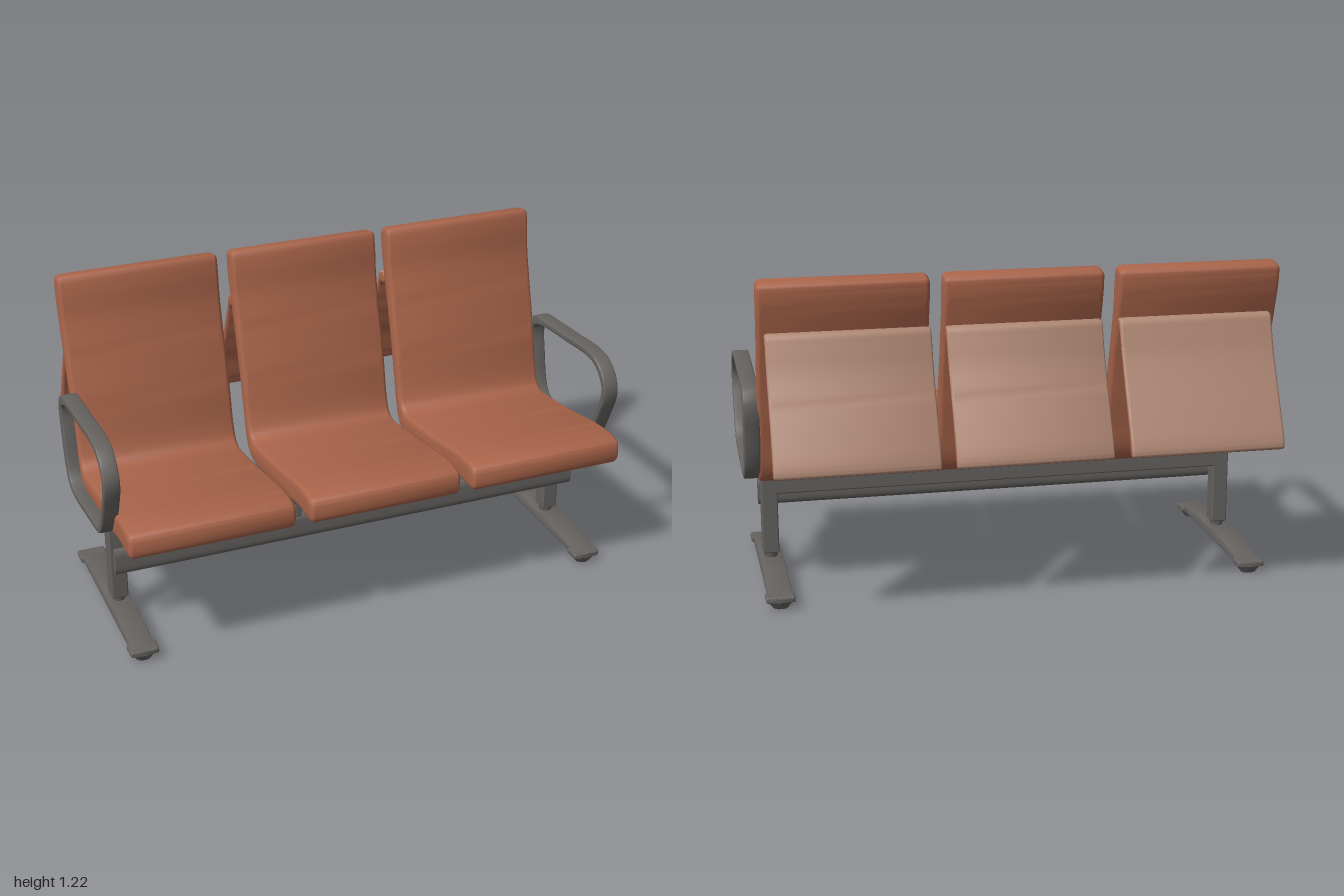
import * as THREE from 'three';
import { toCreasedNormals } from 'three/addons/utils/BufferGeometryUtils.js';
import { RoundedBoxGeometry } from 'three/addons/geometries/RoundedBoxGeometry.js';

const mat = (name, color) => Object.assign(new THREE.MeshStandardMaterial({ color }), { name });
const V = (p) => p.map(([z, y]) => new THREE.Vector2(z, y));
const closedCurve = (points) =>
  new THREE.CatmullRomCurve3(points.map(([z, y]) => new THREE.Vector3(z, y, 0)), true, 'centripetal');

// Smooth closed outline from a few (z, y) points
function smoothShape(points) {
  const pts = closedCurve(points).getPoints(points.length * 4);
  pts.pop();
  return new THREE.Shape(pts.map((p) => new THREE.Vector2(p.x, p.y)));
}

// Extrude a (z, y) outline across x, with a rounded edge kept inside the outline
function across(shape, width, bevel, segments = 4) {
  const g = new THREE.ExtrudeGeometry(shape, {
    depth: width - 2 * bevel, bevelEnabled: bevel > 0, bevelSize: bevel, bevelThickness: bevel,
    bevelOffset: -bevel, bevelSegments: segments, curveSegments: 10,
  });
  g.translate(0, 0, -width / 2 + bevel);
  g.rotateY(-Math.PI / 2);
  return toCreasedNormals(g, 0.6);
}

// Closed loop of even turns, thickened about its anticlockwise (z, y) centre line
function loopShape(points, n, thickness) {
  const curve = closedCurve(points), outer = [], inner = [];
  for (let i = 0; i < n; i++) {
    const p = curve.getPointAt(i / n), t = curve.getTangentAt(i / n), h = thickness(p.x) / 2;
    outer.push(new THREE.Vector2(p.x + t.y * h, p.y - t.x * h));
    inner.push(new THREE.Vector2(p.x - t.y * h, p.y + t.x * h));
  }
  const shape = new THREE.Shape(outer);
  shape.holes.push(new THREE.Path(inner));
  return shape;
}

// Put the triangles that face the given direction in material group 1, the rest in group 0
function splitByFacing(g, direction, limit) {
  const pos = g.attributes.position, lists = [[], []];
  const a = new THREE.Vector3(), b = new THREE.Vector3(), c = new THREE.Vector3(), n = new THREE.Vector3();
  for (let i = 0; i < pos.count; i += 3) {
    a.fromBufferAttribute(pos, i);
    b.fromBufferAttribute(pos, i + 1);
    c.fromBufferAttribute(pos, i + 2);
    new THREE.Triangle(a, b, c).getNormal(n);
    lists[n.dot(direction) > limit ? 1 : 0].push(i, i + 1, i + 2);
  }
  g.setIndex([...lists[0], ...lists[1]]);
  g.clearGroups();
  g.addGroup(0, lists[0].length, 0);
  g.addGroup(lists[0].length, lists[1].length, 1);
  return g;
}

const SEAT = [
  [0.50, 0.583], [0.53, 0.572], [0.54, 0.55], [0.539, 0.505], [0.525, 0.486], [0.40, 0.483], [0.27, 0.458],
  [0.10, 0.437], [0.0, 0.427], [-0.07, 0.424], [-0.125, 0.438], [-0.162, 0.49], [-0.2, 0.63], [-0.245, 0.80],
  [-0.3, 0.98], [-0.34, 1.12], [-0.347, 1.17], [-0.344, 1.2], [-0.31, 1.212], [-0.279, 1.213], [-0.262, 1.16],
  [-0.25, 1.06], [-0.22, 0.94], [-0.165, 0.74], [-0.128, 0.575], [-0.105, 0.53], [-0.075, 0.515], [0.0, 0.52],
  [0.15, 0.54], [0.28, 0.563], [0.38, 0.58], [0.44, 0.585],
];

const FLAP = [
  [-0.31, 1.025], [-0.342, 1.022], [-0.358, 0.985], [-0.387, 0.9], [-0.434, 0.8], [-0.489, 0.69], [-0.536, 0.585],
  [-0.536, 0.563], [-0.517, 0.557], [-0.497, 0.59], [-0.455, 0.7], [-0.40, 0.82], [-0.36, 0.92], [-0.335, 0.975],
  [-0.305, 0.985],
];

const ARM = [
  [0.27, 0.823], [0.08, 0.813], [-0.09, 0.801], [-0.15, 0.79], [-0.185, 0.765], [-0.194, 0.72], [-0.18, 0.64],
  [-0.158, 0.54], [-0.135, 0.488], [-0.1, 0.457], [-0.05, 0.448], [0.1, 0.46], [0.24, 0.474], [0.295, 0.488],
  [0.325, 0.525], [0.365, 0.61], [0.397, 0.69], [0.399, 0.73], [0.375, 0.775], [0.33, 0.81],
];

const FOOT = [
  [0.45, 0.03], [0.45, 0.045], [0.42, 0.052], [0.3, 0.062], [0.17, 0.074], [0.15, 0.067], [0.05, 0.067], [0.03, 0.074],
  [-0.06, 0.07], [-0.2, 0.056], [-0.29, 0.047], [-0.315, 0.042], [-0.315, 0.03],
];

export function createModel() {
  const root = new THREE.Group();
  const orange = mat('terracotta upholstery', 0xa9644a);
  const pale = mat('pale back panel', 0xaf8774);
  const grey = mat('dark grey metal', 0x65625f);

  const add = (parent, name, geometry, material, x = 0, y = 0, z = 0) => {
    const m = new THREE.Mesh(geometry, material);
    m.name = name;
    m.position.set(x, y, z);
    parent.add(m);
    return m;
  };
  const box = (parent, name, w, h, d, x, y, z, r = 0.006) =>
    add(parent, name, new RoundedBoxGeometry(w, h, d, 2, r), grey, x, y, z);

  // Three seats, each with a hanging back flap that is pale on its rear face
  const rearward = new THREE.Vector3(0, 0.4, -0.92);
  for (const [x, width, flapX, flapWidth] of [[-0.65, 0.61, -0.637, 0.577], [0, 0.585, 0, 0.572], [0.645, 0.61, 0.632, 0.587]]) {
    const seat = new THREE.Group();
    seat.name = 'seat';
    root.add(seat);
    add(seat, 'seatShell', across(smoothShape(SEAT), width, 0.022, 5), orange, x);
    const flap = splitByFacing(across(smoothShape(FLAP), flapWidth, 0.011), rearward, 0.25);
    add(seat, 'backFlap', flap, [orange, pale], flapX);
  }

  // Loop armrests, slightly thicker at the rear
  const armShape = loopShape(ARM, 90, (z) => 0.026 + 0.014 * THREE.MathUtils.smoothstep(-z, 0.05, 0.18));
  const armGeo = across(armShape, 0.06, 0.006, 3);

  // Knob under each outer seat edge
  const knobGeo = new THREE.LatheGeometry(
    V([[0, 0], [0.012, 0.002], [0.021, 0.014], [0.025, 0.035], [0.025, 0.06], [0.021, 0.066], [0.01, 0.069], [0.009, 0.11]]), 16);
  const padGeo = new THREE.CylinderGeometry(0.038, 0.02, 0.03, 16);

  for (const s of [-1, 1]) {
    add(root, 'armrest', armGeo, grey, s * 0.97);
    const knob = add(root, 'seatKnob', knobGeo, grey, s * 0.89, 0.37, 0.275);
    knob.scale.x = 0.6;

    // Pedestal leg with collar, long foot and end pads
    const leg = new THREE.Group();
    leg.name = 'leg';
    leg.position.x = s * 0.896;
    root.add(leg);
    box(leg, 'post', 0.062, 0.3, 0.066, 0, 0.235, 0.102);
    add(leg, 'collar', new THREE.CylinderGeometry(0.028, 0.024, 0.03, 16), grey, 0, 0.077, 0.102);
    add(leg, 'foot', across(new THREE.Shape(V(FOOT)), 0.09, 0.006, 2), grey);
    for (const z of [0.415, -0.28]) {
      box(leg, 'footTip', 0.106, 0.024, 0.066, 0, 0.038, z, 0.008);
      const pad = add(leg, 'footPad', padGeo, grey, 0, 0.015, z);
      pad.scale.x = 1.35;
    }

    // Arched bracket bridging the gap between neighbouring seats
    const bracket = new THREE.Group();
    bracket.name = 'seatBracket';
    root.add(bracket);
    box(bracket, 'bracketBridge', 0.135, 0.026, 0.034, s * 0.298, 0.446, 0.275);
    box(bracket, 'bracketTop', 0.06, 0.02, 0.034, s * 0.315, 0.468, 0.275);
    for (const x of [0.247, 0.349]) box(bracket, 'bracketLeg', 0.026, 0.07, 0.034, s * x, 0.41, 0.275);
    box(bracket, 'bracketClip', 0.07, 0.014, 0.03, s * 0.298, 0.402, 0.275, 0.004);
  }

  // Square rear rail joining the posts
  box(root, 'rearRail', 1.854, 0.065, 0.066, 0, 0.3525, 0.102);

  // Flat oval front rail
  const oval = new THREE.Shape();
  oval.absellipse(0.212, 0.315, 0.016, 0.03, 0, Math.PI);
  oval.absellipse(0.212, 0.27, 0.016, 0.03, Math.PI, 2 * Math.PI);
  add(root, 'frontRail', across(oval, 1.86, 0), grey);

  return root;
}
